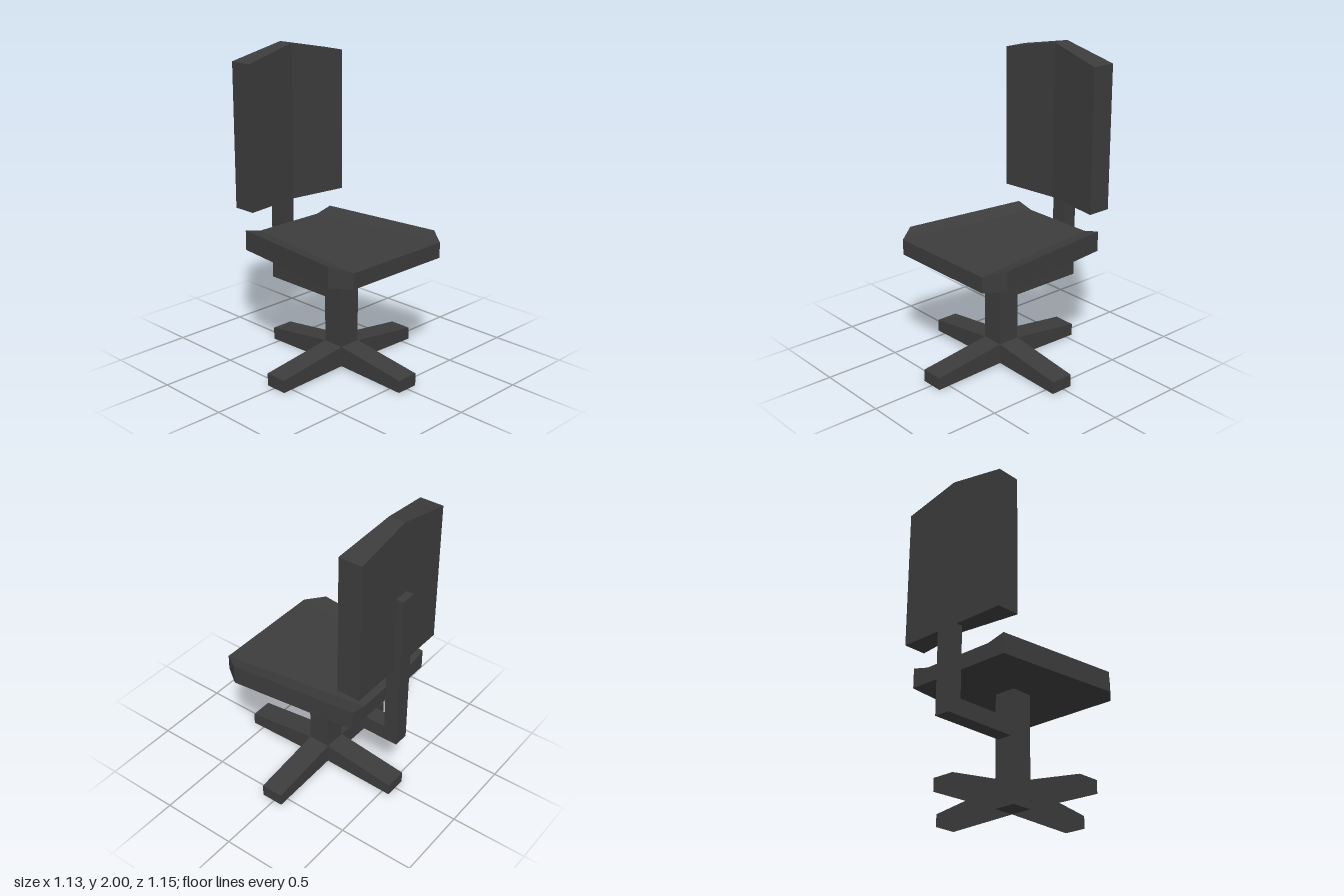
import * as THREE from 'three';

const charcoal = new THREE.MeshStandardMaterial({ color: 0x3c3c3c, side: THREE.DoubleSide });
charcoal.name = 'charcoal';

// Flat-sided solid: each face is a list of corner indices, counter-clockwise from outside
function polyhedron(points, faces) {
  const pos = [];
  for (const f of faces)
    for (let i = 1; i < f.length - 1; i++)
      for (const k of [f[0], f[i], f[i + 1]]) pos.push(...points[k]);
  const g = new THREE.BufferGeometry();
  g.setAttribute('position', new THREE.Float32BufferAttribute(pos, 3));
  g.computeVertexNormals();
  return g;
}

// Side walls joining loop a..a+n-1 to loop b..b+n-1
function walls(n, a, b) {
  return Array.from({ length: n }, (_, i) => {
    const j = (i + 1) % n;
    return [a + i, a + j, b + j, b + i];
  });
}

export function createModel() {
  const chair = new THREE.Group();
  chair.name = 'officeChair';
  const add = (name, geometry, parent = chair) => {
    const m = new THREE.Mesh(geometry, charcoal);
    m.name = name;
    parent.add(m);
    return m;
  };

  // Backrest: peaked top, front hollowed along the middle
  const outline = [[-0.39, 1], [0, 1], [0.39, 1], [0.39, 1.92], [0, 2], [-0.39, 1.92]];
  const backPts = [
    ...outline.map(([x, y]) => [x, y, -0.525]),
    ...outline.map(([x, y]) => [x, y, x === 0 ? -0.42 : -0.37]),
  ];
  add('backrest', polyhedron(backPts, [
    ...walls(6, 0, 6),
    [6, 7, 10, 11], [7, 8, 9, 10],
    [1, 0, 5, 4], [2, 1, 4, 3],
  ]));

  // Seat: tapers to the back, clipped front corners, raised side edges
  const plan = [
    [-0.38, 0.49, 0.83], [0.38, 0.49, 0.83], [0.465, 0.37, 0.86], [0.37, -0.465, 0.86],
    [0.25, -0.465, 0.83], [-0.25, -0.465, 0.83], [-0.37, -0.465, 0.86], [-0.465, 0.37, 0.86],
  ];
  const seatPts = [
    ...plan.map(([x, z]) => [x, 0.73, z]),
    ...plan.map(([x, z, y]) => [x, y, z]),
  ];
  add('seat', polyhedron(seatPts, [
    ...walls(8, 0, 8),
    [8, 9, 12, 13], [9, 10, 11, 12], [8, 13, 14, 15],
    [7, 6, 5, 4, 3, 2, 1, 0],
  ]));

  // Column under the seat
  add('column', new THREE.BoxGeometry(0.146, 0.718, 0.146)).position.set(0, 0.371, 0.014);

  // L-shaped bracket from the column up the back
  const bracket = new THREE.Shape([
    [0.055, 0.435], [0.575, 0.435], [0.575, 1.52], [0.48, 1.52], [0.48, 0.54], [0.055, 0.54],
  ].map(([x, y]) => new THREE.Vector2(x, y)));
  const bracketGeo = new THREE.ExtrudeGeometry(bracket, { depth: 0.104, bevelEnabled: false });
  bracketGeo.translate(0, 0, -0.052).rotateY(Math.PI / 2);
  add('backBracket', bracketGeo);

  // Four tapering feet, open underneath
  const w = 0.074;
  const legGeo = polyhedron([
    [-w, 0.012, w], [w, 0.012, w], [w, 0.145, w], [-w, 0.145, w],
    [-w, 0, 0.565], [w, 0, 0.565], [w, 0.08, 0.565], [-w, 0.08, 0.565],
  ], [[4, 5, 6, 7], [3, 7, 6, 2], [1, 2, 6, 5], [0, 4, 7, 3]]);
  const base = new THREE.Group();
  base.name = 'base';
  base.position.z = 0.014;
  chair.add(base);
  for (let i = 0; i < 4; i++) add('foot' + (i + 1), legGeo, base).rotation.y = i * Math.PI / 2;

  return chair;
}
